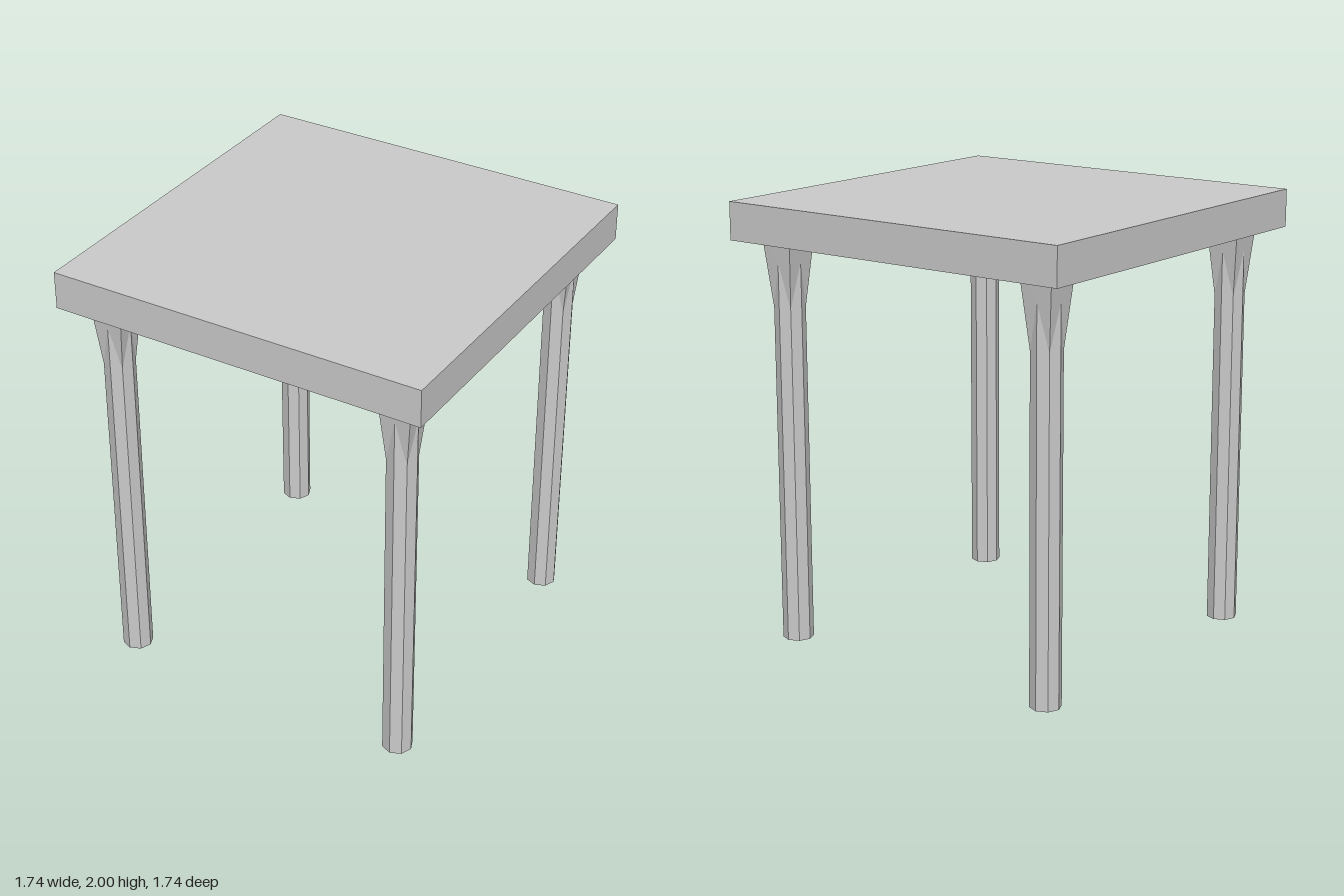
import * as THREE from 'three';

const TOP_HALF = 0.872, TOP_BASE = 1.83;   // tabletop
const LEG_POS = 0.696, LEG_R = 0.069;      // octagonal legs
const HEAD_HALF = 0.078;                   // square head under the tabletop
const CORNER_Y = 1.53, RIDGE_Y = 1.735;    // where diagonal and axis edges end

// Octagonal shaft whose diagonal edges flare into a square head
function legGeometry() {
  const pos = [];
  const tri = (...pts) => pts.forEach((p) => pos.push(...p));
  const shaft = (i, y) => {
    const a = (i * Math.PI) / 4;
    return [LEG_R * Math.cos(a), y, -LEG_R * Math.sin(a)];
  };
  const head = (i) => {
    const a = (i * Math.PI) / 4, r = HEAD_HALF * Math.SQRT2;
    return [r * Math.cos(a), TOP_BASE, -r * Math.sin(a)];
  };
  const endY = (i) => (i % 2 ? CORNER_Y : RIDGE_Y);

  for (let i = 0; i < 8; i++) {
    const a0 = shaft(i, 0), b0 = shaft(i + 1, 0);
    const a1 = shaft(i, endY(i)), b1 = shaft(i + 1, endY(i + 1));
    // shaft side and foot
    tri(a0, b0, b1);
    tri(a0, b1, a1);
    tri([0, 0, 0], b0, a0);
    // flare beside each diagonal edge
    tri(a1, b1, head(i % 2 ? i : i + 1));
    // flat face of the head above each axis edge
    if (i % 2 === 0) {
      tri(a1, head(i + 1), head(i - 1));
      tri([0, TOP_BASE, 0], head(i - 1), head(i + 1));
    }
  }
  const geo = new THREE.BufferGeometry();
  geo.setAttribute('position', new THREE.Float32BufferAttribute(pos, 3));
  geo.computeVertexNormals();
  return geo;
}

export function createModel() {
  const table = new THREE.Group();
  table.name = 'table';
  const material = new THREE.MeshStandardMaterial({ color: 0xcccccc, flatShading: true });

  // Tabletop slab
  const thickness = 2 - TOP_BASE;
  const top = new THREE.Mesh(
    new THREE.BoxGeometry(TOP_HALF * 2, thickness, TOP_HALF * 2), material);
  top.position.y = TOP_BASE + thickness / 2;
  top.name = 'tabletop';
  table.add(top);

  // Four legs
  const geo = legGeometry();
  for (const [zName, z] of [['front', 1], ['back', -1]]) {
    for (const [xName, x] of [['Left', 1], ['Right', -1]]) {
      const leg = new THREE.Mesh(geo, material);
      leg.position.set(x * LEG_POS, 0, z * LEG_POS);
      leg.name = `${zName}${xName}Leg`;
      table.add(leg);
    }
  }
  return table;
}
